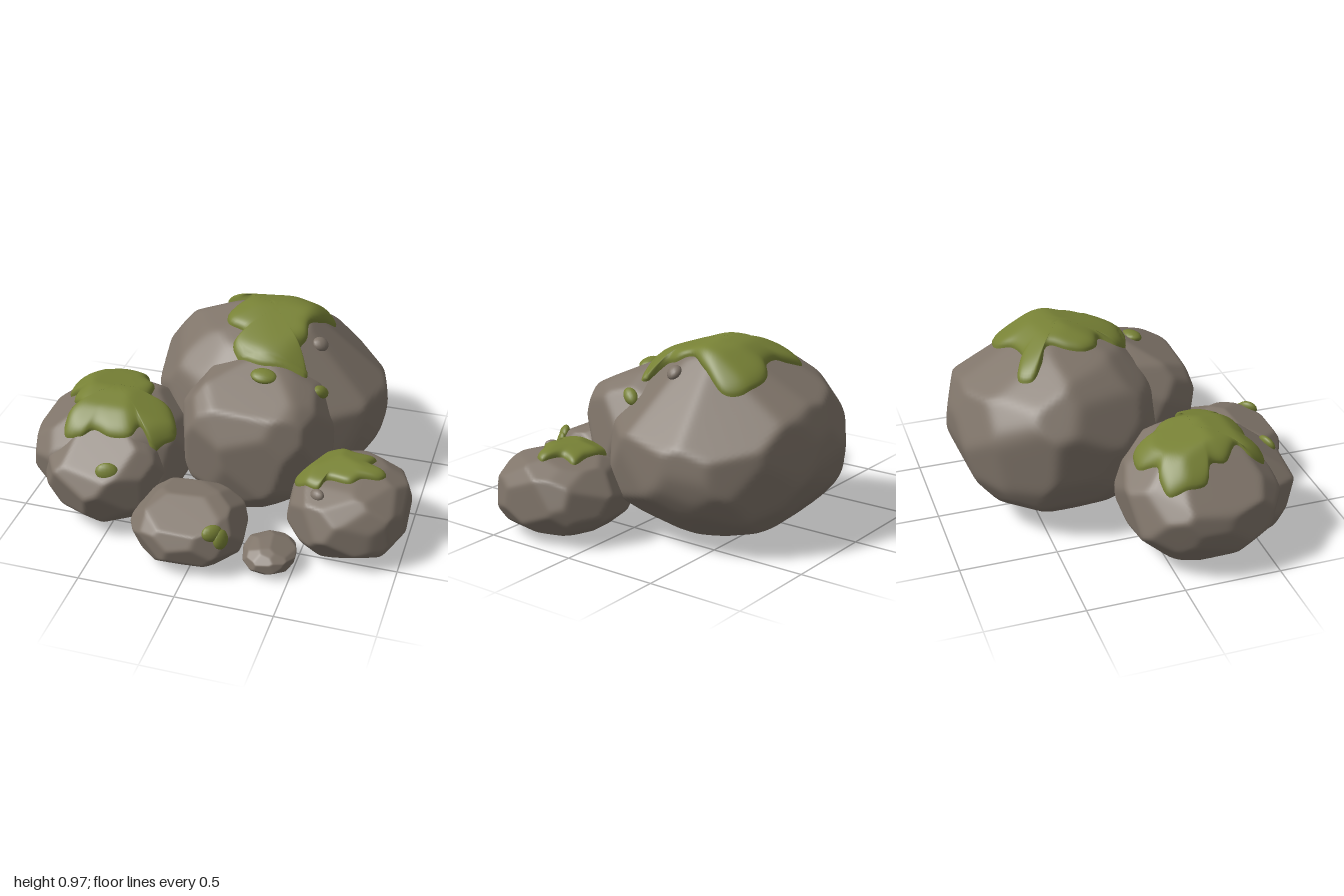
import * as THREE from 'three';
import { mergeVertices } from 'three/addons/utils/BufferGeometryUtils.js';

const stone = new THREE.MeshStandardMaterial({ color: 0x80756a });
stone.name = 'stone';
const moss = new THREE.MeshStandardMaterial({ color: 0x788236, side: THREE.DoubleSide });
moss.name = 'moss';

const V = (a) => new THREE.Vector3(...a);

function seeded(seed) {
  return () => {
    seed = (seed * 16807) % 2147483647;
    return seed / 2147483647;
  };
}

// Unit directions shared by all boulders
let ball = new THREE.IcosahedronGeometry(1, 26);
ball.deleteAttribute('uv');
ball.deleteAttribute('normal');
ball = mergeVertices(ball, 1e-4);

// A boulder is a set of softened cutting planes around a squarish ellipsoid,
// fitted to the box min..max; cuts are extra planes given as [normal, point].
function boulder(name, min, max, { count, square, low, seed, cuts = [] }) {
  const rand = seeded(seed);
  for (let i = 0; i < 5; i++) rand();
  const planes = [];
  for (let i = 0; i < count; i++) {
    const y = 1 - (2 * i + 1) / count, s = Math.sqrt(1 - y * y), a = i * 2.39996 + seed;
    const n = new THREE.Vector3(Math.cos(a) * s, y, Math.sin(a) * s);
    n.x += (rand() - 0.5) * 0.35; n.y += (rand() - 0.5) * 0.3; n.z += (rand() - 0.5) * 0.35;
    n.normalize();
    const e = n.y > 0 ? square : low, q = e / (e - 1);
    const h = (Math.abs(n.x) ** q + Math.abs(n.y) ** q + Math.abs(n.z) ** q) ** (1 / q);
    planes.push(n.divideScalar(h * (0.97 + rand() * 0.05)));
  }
  // flat underside
  planes.push(new THREE.Vector3(0, -1.06, 0));
  const K = 100;
  const level = (v) => {
    let sum = 0;
    for (const n of planes) {
      const d = n.dot(v);
      if (d > 0) sum += d ** K;
    }
    return sum ** (1 / K);
  };
  // fit to the box
  const box = new THREE.Box3(), v = new THREE.Vector3(), dirs = ball.attributes.position;
  for (let i = 0; i < dirs.count; i++) {
    v.fromBufferAttribute(dirs, i);
    box.expandByPoint(v.divideScalar(level(v)));
  }
  const r = V(max).sub(V(min)).divide(box.getSize(new THREE.Vector3()));
  const c = V(min).sub(box.min.clone().multiply(r));
  for (const [normal, point] of cuts) {
    const n = V(normal);
    planes.push(n.clone().multiply(r).divideScalar(n.dot(V(point).sub(c))));
  }
  const field = (p) => level(p.clone().sub(c).divide(r));
  return { name, c, r, level, field };
}

function boulderMesh(b) {
  const geo = ball.clone(), pos = geo.attributes.position, v = new THREE.Vector3();
  for (let i = 0; i < pos.count; i++) {
    v.fromBufferAttribute(pos, i);
    v.divideScalar(b.level(v)).multiply(b.r).add(b.c);
    pos.setXYZ(i, v.x, v.y, v.z);
  }
  geo.computeVertexNormals();
  const mesh = new THREE.Mesh(geo, stone);
  mesh.name = b.name;
  return mesh;
}

// Highest point of the given boulders above (x, z), with its outward normal.
function surfaceAt(rocks, x, z) {
  let best = null;
  for (const b of rocks) {
    let lo = b.c.y, hi = b.c.y + b.r.y * 1.3;
    const p = new THREE.Vector3(x, lo, z);
    if (b.field(p) < 1) {
      for (let i = 0; i < 22; i++) {
        p.y = (lo + hi) / 2;
        if (b.field(p) < 1) lo = p.y; else hi = p.y;
      }
    }
    if (!best || p.y > best.p.y) best = { p, b };
  }
  const { p, b } = best, e = 0.03, g = new THREE.Vector3();
  for (const k of ['x', 'y', 'z']) {
    const a = p.clone(), d = p.clone();
    a[k] += e; d[k] -= e;
    g[k] = b.field(a) - b.field(d);
  }
  return { p, n: g.normalize() };
}

// Moss draped over the rocks inside a clockwise outline of [x, z] points.
function mossPatch(name, rocks, [cx, cz], outline, thick) {
  const curve = new THREE.CatmullRomCurve3(outline.map(([x, z]) => V([x, 0, z])), true, 'centripetal');
  const around = 110, rings = 22, pos = [], index = [];
  const edge = curve.getPoints(around);
  for (let j = 0; j <= rings; j++) {
    const t = Math.sqrt(j / rings) * 0.5 + (j / rings) * 0.5;
    const lift = thick * Math.sqrt(1 - t ** 8) - 0.012 * t ** 12;
    for (let i = 0; i < around; i++) {
      const { p, n } = surfaceAt(rocks, cx + (edge[i].x - cx) * t, cz + (edge[i].z - cz) * t);
      p.addScaledVector(n, lift);
      pos.push(p.x, p.y, p.z);
      if (j === rings) continue;
      const a = j * around + i, b = j * around + (i + 1) % around;
      if (j > 0) index.push(a, a + around, b);
      index.push(b, a + around, b + around);
    }
  }
  let geo = new THREE.BufferGeometry();
  geo.setAttribute('position', new THREE.Float32BufferAttribute(pos, 3));
  geo.setIndex(index);
  geo = mergeVertices(geo, 1e-5);
  geo.computeVertexNormals();
  const mesh = new THREE.Mesh(geo, moss);
  mesh.name = name;
  return mesh;
}

// Small rounded lump seated where a ray from the first boulder's center leaves the rocks.
function lump(name, rocks, toward, size, material) {
  const from = rocks[0].c, d = V(toward).sub(from).normalize();
  let lo = 0, hi = 1;
  for (let i = 0; i < 22; i++) {
    const t = (lo + hi) / 2, p = from.clone().addScaledVector(d, t);
    if (rocks.some((b) => b.field(p) < 1)) lo = t; else hi = t;
  }
  const mesh = new THREE.Mesh(new THREE.SphereGeometry(1, 16, 10), material);
  mesh.scale.set(...size);
  mesh.position.copy(from).addScaledVector(d, lo);
  mesh.quaternion.setFromUnitVectors(new THREE.Vector3(0, 0, 1), d);
  mesh.name = name;
  return mesh;
}

export function createModel() {
  const group = new THREE.Group();
  group.name = 'mossyBoulders';

  // sloping shoulder of the big boulder at an angle around its axis
  const shoulder = (a, rise, reach, y) => {
    const run = Math.sqrt(1 - rise * rise), cx = Math.cos(a), cz = Math.sin(a);
    return [[run * cx, rise, run * cz], [0.14 + reach * cx, y, -0.3 + reach * cz]];
  };
  const big = boulder('bigBoulder', [-0.47, 0.035, -0.885], [0.75, 0.935, 0.24], {
    count: 80, square: 2.15, low: 2.3, seed: 11,
    cuts: [
      shoulder(-0.55, 0.72, 0.25, 0.86), shoulder(0.05, 0.73, 0.245, 0.86), shoulder(0.65, 0.72, 0.25, 0.86),
      shoulder(-1.15, 0.85, 0.25, 0.85), shoulder(-1.75, 0.88, 0.26, 0.84), shoulder(-2.3, 0.86, 0.33, 0.84),
      shoulder(-1.57, 0.4, 0.53, 0.67),
    ],
  });
  const middle = boulder('middleBoulder', [-0.25, 0.06, -0.35], [0.565, 0.84, 0.43], {
    count: 52, square: 2.5, low: 2.4, seed: 23,
    cuts: [[[0, 0.9, 0.436], [0, 0.815, 0.06]], [[0.5, 0.85, 0.15], [0.36, 0.77, 0.06]]],
  });
  const sideSlope = [[0, 0.83, 0.555], [0, 0.575, 0.38]];
  const leftBack = boulder('sideBoulderBack', [-1, 0.045, -0.19], [-0.13, 0.61, 0.62], {
    count: 52, square: 2.2, low: 2.6, seed: 37,
    cuts: [sideSlope, [[-0.62, 0.78, 0.05], [-0.8, 0.525, 0.2]], [[-0.5, 0.75, -0.4], [-0.77, 0.53, 0.02]]],
  });
  const leftFront = boulder('sideBoulderFront', [-0.9, 0.04, 0.02], [-0.21, 0.55, 0.73], {
    count: 46, square: 2.2, low: 2.6, seed: 41,
    cuts: [sideSlope, [[-0.5, 0.75, 0.4], [-0.74, 0.47, 0.47]]],
  });
  const right = boulder('lowBoulder', [0.38, 0.035, -0.06], [1, 0.425, 0.63], {
    count: 52, square: 2.3, low: 2.9, seed: 53,
  });
  const front = boulder('frontBoulder', [-0.33, 0.012, 0.33], [0.25, 0.345, 0.88], {
    count: 42, square: 2.5, low: 2.5, seed: 67, cuts: [[[0, 0.93, 0.36], [0, 0.335, 0.62]]],
  });
  const pebble = boulder('pebble', [0.24, 0, 0.46], [0.51, 0.145, 0.76], {
    count: 48, square: 2.1, low: 2.2, seed: 71, cuts: [[[0.35, 0.93, 0], [0.4, 0.137, 0.6]]],
  });
  for (const b of [big, middle, leftBack, leftFront, right, front, pebble]) group.add(boulderMesh(b));

  // moss caps
  group.add(mossPatch('bigMoss', [big, middle], [0.15, -0.28], [
    [-0.19, -0.52], [-0.15, -0.58], [-0.05, -0.55], [0, -0.52], [0.12, -0.54], [0.2, -0.6],
    [0.28, -0.61], [0.38, -0.58], [0.43, -0.5], [0.39, -0.36], [0.34, -0.25], [0.35, -0.16],
    [0.33, -0.08], [0.4, 0.03], [0.3, 0.06], [0.16, 0.08], [0.03, 0.04], [-0.01, -0.02],
    [0.03, -0.1], [-0.07, -0.15], [-0.1, -0.22], [-0.08, -0.3], [-0.03, -0.4], [-0.12, -0.45],
  ], 0.036));
  group.add(mossPatch('sideMoss', [leftBack, leftFront], [-0.57, 0.2], [
    [-0.85, -0.04], [-0.77, -0.06], [-0.7, -0.05], [-0.62, -0.12], [-0.5, -0.1], [-0.47, 0],
    [-0.4, 0.08], [-0.38, 0.2], [-0.28, 0.2], [-0.22, 0.28], [-0.2, 0.34], [-0.24, 0.4],
    [-0.29, 0.45], [-0.37, 0.4], [-0.4, 0.47], [-0.5, 0.49], [-0.6, 0.47], [-0.66, 0.51],
    [-0.75, 0.5], [-0.76, 0.42], [-0.7, 0.37], [-0.78, 0.28], [-0.78, 0.2], [-0.86, 0.15], [-0.87, 0.05],
  ], 0.034));
  group.add(mossPatch('lowMoss', [right], [0.63, 0.27], [
    [0.42, 0.31], [0.46, 0.22], [0.5, 0.15], [0.6, 0.11], [0.7, 0.13], [0.8, 0.13], [0.79, 0.22],
    [0.88, 0.27], [0.86, 0.32], [0.77, 0.35], [0.72, 0.4], [0.6, 0.39], [0.57, 0.45],
    [0.5, 0.43], [0.44, 0.38],
  ], 0.03));

  // loose moss tufts and stone chips
  group.add(lump('mossTuftTop', [middle, big], [0.2, 0.79, 0.13], [0.068, 0.05, 0.028], moss));
  group.add(lump('mossTuftEdge', [middle, big], [0.51, 0.71, 0.03], [0.055, 0.035, 0.03], moss));
  group.add(lump('mossTuftSide', [leftFront, leftBack], [-0.47, 0.4, 0.63], [0.058, 0.045, 0.024], moss));
  group.add(lump('mossTuftFront', [front], [0.11, 0.25, 0.77], [0.055, 0.042, 0.027], moss));
  group.add(lump('mossTuftDrip', [front], [0.15, 0.22, 0.765], [0.042, 0.052, 0.024], moss));
  group.add(lump('chipTop', [big, middle], [0.4, 0.81, -0.2], [0.045, 0.04, 0.03], stone));
  group.add(lump('chipLow', [right], [0.58, 0.36, 0.47], [0.04, 0.03, 0.025], stone));
  return group;
}
